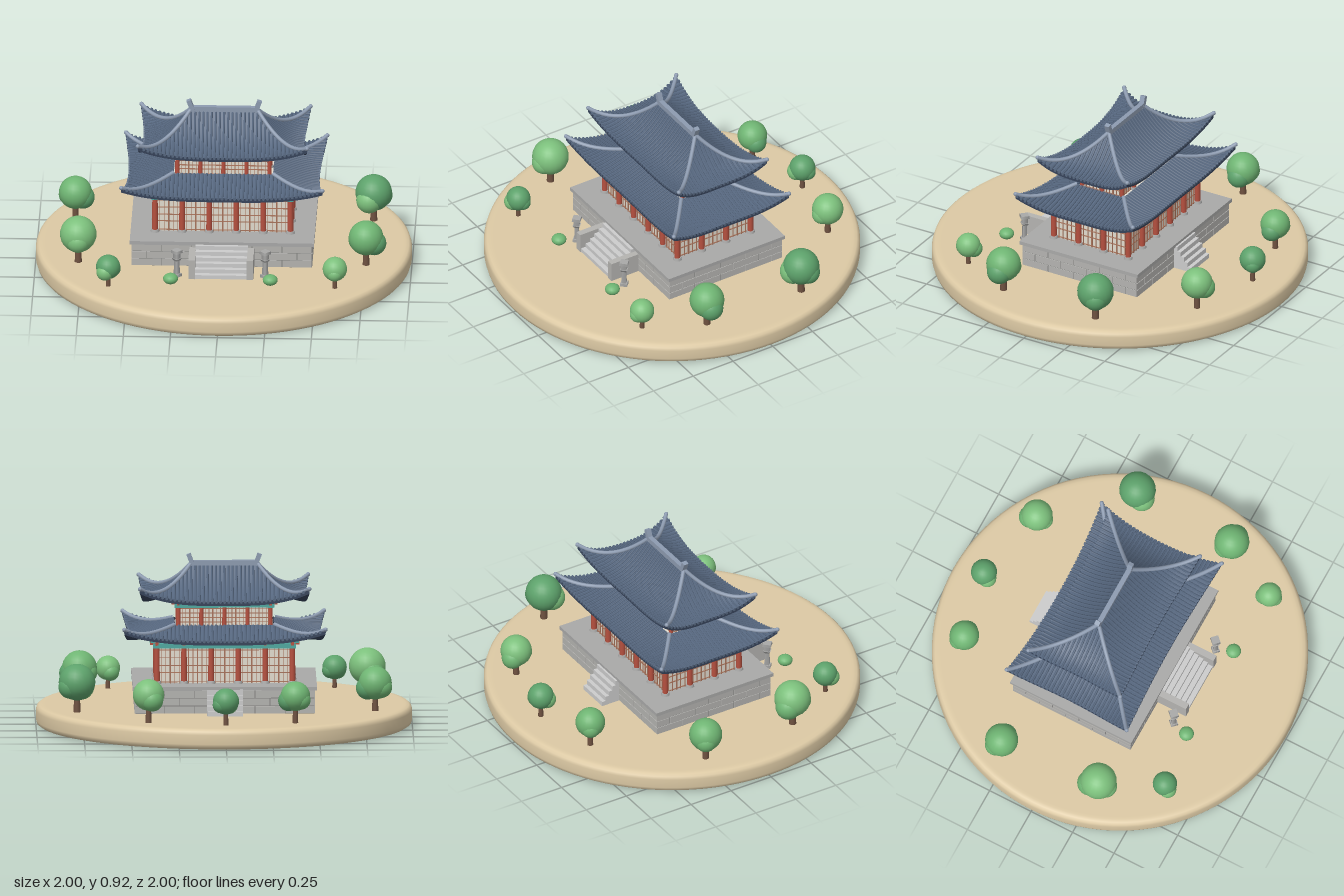
import * as THREE from 'three';
import { mergeGeometries } from 'three/addons/utils/BufferGeometryUtils.js';

const mat = (color, side = THREE.FrontSide) => new THREE.MeshStandardMaterial({ color, side });
const M = {
  sand: mat(0xdcc9a4), stone: mat(0xb4b3b0), joint: mat(0x858583), slab: mat(0xa9a9a8), step: mat(0xc4c3c0),
  red: mat(0xb5503f), panel: mat(0xe2dccf), bar: mat(0xa9745c), teal: mat(0x4fa9a0),
  tile: mat(0x56677f, THREE.DoubleSide), under: mat(0x36435a, THREE.DoubleSide), trim: mat(0x8d9bb0),
  trunk: mat(0x6e5140), leaves: [mat(0x6fb573), mat(0x5da26b), mat(0x7cc07c)],
};
const ZC = -0.035; // depth centre of the hall
const GROUND = 0.11;

function mesh(name, geo, material, x = 0, y = 0, z = 0) {
  const m = new THREE.Mesh(geo, material);
  m.name = name;
  m.position.set(x, y, z);
  return m;
}
const box = (w, h, d, x, y, z) => new THREE.BoxGeometry(w, h, d).translate(x, y, z);
const cyl = (r0, r1, h, x, y, z, n = 12) => new THREE.CylinderGeometry(r0, r1, h, n).translate(x, y, z);
const merged = (name, geos, material) => mesh(name, mergeGeometries(geos), material);

// Calls fn(halfLength, outwardDistance, i, add) for four sides; added parts are turned onto their side
function fourSides(hx, hz, fn) {
  for (let i = 0; i < 4; i++) {
    const add = (list, geo) => list.push(geo.rotateY(i * Math.PI / 2));
    if (i % 2) fn(hz, hx, i, add); else fn(hx, hz, i, add);
  }
}

function ground() {
  const pts = [[0, 0], [0.965, 0], [0.98, 0.002], [0.995, 0.012], [1, 0.03], [1, 0.08], [0.995, 0.097],
    [0.983, 0.107], [0.965, 0.11], [0.95, 0.11], [0, 0.11]].map(p => new THREE.Vector2(...p));
  return mesh('ground', new THREE.LatheGeometry(pts, 96), M.sand);
}

// Stone terrace: a core, staggered courses of blocks and a capping slab
function terrace() {
  const g = new THREE.Group(), blocks = [];
  g.name = 'terrace';
  const hx = 0.48, hz = 0.355, rowH = 0.125 / 3;
  fourSides(hx, hz, (L, D, i, add) => {
    for (let r = 0; r < 3; r++) {
      const w = 0.16, shift = r % 2 ? w / 2 : 0;
      for (let a = -L - shift; a < L - 0.001; a += w) {
        const s = Math.max(a, -L), e = Math.min(a + w, L);
        if (e - s > 0.01) add(blocks, box(e - s - 0.004, rowH - 0.004, 0.02, (s + e) / 2, GROUND + rowH * (r + 0.5), D - 0.01));
      }
    }
  });
  g.add(merged('stoneBlocks', blocks, M.stone));
  g.add(mesh('terraceCore', box(hx * 2 - 0.008, 0.13, hz * 2 - 0.008, 0, 0.17, 0), M.joint));
  g.add(mesh('terraceSlab', box(0.98, 0.02, 0.73, 0, 0.245, 0), M.slab));
  g.position.z = ZC;
  return g;
}

function stairs(name, halfWidth, zStart, run, dir, n) {
  const steps = [];
  for (let i = 0; i < n; i++) {
    const h = 0.13 * (n - i) / n, d = run / n;
    steps.push(box(halfWidth * 2, h, d, 0, GROUND + h / 2, zStart + dir * d * (i + 0.5)));
  }
  return merged(name, steps, M.step);
}

// One storey: columns, latticed panels, beams and brackets
function storey(name, hx, hz, nx, nz, y0, y1, beamH, r) {
  const g = new THREE.Group(), cols = [], bases = [], bars = [], teal = [], brackets = [];
  g.name = name;
  const H = y1 - y0, inset = 0.012;
  fourSides(hx, hz, (L, D, i, add) => {
    const n = i % 2 ? nz : nx, w = 2 * L / n, zw = D - inset + 0.002;
    for (let k = 0; k < n; k++) {
      const x = -L + k * w;
      add(cols, cyl(r * 0.92, r, H, x, y0 + H / 2, D, 14));
      add(bases, cyl(r * 1.3, r * 1.5, 0.014, x, y0 + 0.007, D, 14));
      for (let j = 1; j < 6; j++) add(bars, box(j === 3 ? 0.007 : 0.003, H, 0.006, x + w * j / 6, y0 + H / 2, zw));
      for (const f of [0.04, 0.3, 0.5, 0.72, 0.94]) add(bars, box(w, 0.004, 0.006, x + w / 2, y0 + H * f, zw));
    }
    add(teal, box(2 * L + 0.04, beamH * 0.55, 0.03, 0, y1 + beamH * 0.275, D));
    add(teal, box(2 * L + 0.07, beamH * 0.3, 0.04, 0, y1 + beamH * 0.85, D + 0.012));
    // Alternating bracket blocks below the eaves
    const m = n * 3;
    for (let k = 0; k <= m; k++) {
      const x = -L + 2 * L * k / m;
      add(k % 3 ? teal : brackets, box(0.014, beamH * 0.5, 0.05, x, y1 + beamH * 0.65, D + 0.012));
    }
  });
  g.add(mesh('wallPanels', box((hx - inset) * 2, H + beamH, (hz - inset) * 2, 0, y0 + (H + beamH) / 2, 0), M.panel));
  g.add(merged('columns', cols, M.red), merged('columnBases', bases, M.slab), merged('lattice', bars, M.bar));
  g.add(merged('beams', teal, M.teal), merged('brackets', brackets, M.red));
  return g;
}

// Concave hipped roof with bowed eaves and upturned corners
function roof(name, o) {
  const g = new THREE.Group(), top = [], under = [], ribs = [], hips = [];
  g.name = name;
  const lerp = THREE.MathUtils.lerp;
  fourSides(0, 0, (_, __, i, add) => {
    const [l0, l1, d0, d1] = i % 2 ? [o.z0, o.z1, o.x0, o.x1] : [o.x0, o.x1, o.z0, o.z1];
    const at = (s, v, drop = 0) => { // s: distance along the eave, v: 0 at the top, 1 at the eave
      const L = lerp(l0, l1, v), u = L > 1e-6 ? Math.min(1, Math.abs(s) / L) : 0;
      const y = o.yTop - (o.yTop - o.yEave) * (1 - (1 - v) ** o.curve) + o.lift * u ** 3 * v ** 3;
      return new THREE.Vector3(s, y - drop, lerp(d0, d1, v) - o.bow * (1 - u * u) * v * v);
    };
    const sheet = (rows, fn) => {
      const geo = new THREE.PlaneGeometry(2, 1, 28, rows), p = geo.attributes.position;
      for (let k = 0; k < p.count; k++) {
        const q = fn(p.getX(k), 0.5 - p.getY(k));
        p.setXYZ(k, q.x, q.y, q.z);
      }
      geo.computeVertexNormals();
      return geo;
    };
    add(top, sheet(12, (u, v) => at(u * lerp(l0, l1, v), v)));
    add(under, sheet(12, (u, v) => at(u * lerp(l0, l1, v), v, 0.022)));
    add(under, sheet(1, (u, v) => at(u * l1, 1, 0.022 * v)));
    // Round tile ribs running down the slope, each with an end tile
    const n = Math.floor(l1 / 0.022);
    for (let k = -n; k <= n; k++) {
      const s = k * 0.022, v0 = Math.max(0, (Math.abs(s) - l0) / (l1 - l0));
      if (v0 > 0.96) continue;
      const pts = Array.from({ length: 7 }, (_, j) => at(s, lerp(v0, 1, j / 6)));
      add(ribs, new THREE.TubeGeometry(new THREE.CatmullRomCurve3(pts), 7, 0.006, 5));
      add(ribs, new THREE.CylinderGeometry(0.008, 0.008, 0.008, 8).rotateX(Math.PI / 2).translate(pts[6].x, pts[6].y - 0.002, pts[6].z));
    }
    // Hip ridge
    const hip = Array.from({ length: 9 }, (_, j) => at(lerp(l0, l1, j / 8), j / 8, -0.005));
    add(hips, new THREE.TubeGeometry(new THREE.CatmullRomCurve3(hip), 20, 0.011, 8));
    add(hips, new THREE.SphereGeometry(0.0115, 10, 8).translate(hip[8].x, hip[8].y, hip[8].z));
  });
  g.add(merged('roofSurface', top, M.tile), merged('eaveUnderside', under, M.under));
  g.add(merged('tileRibs', ribs, M.tile), merged('hipRidges', hips, M.trim));
  return g;
}

function hall() {
  const g = new THREE.Group();
  g.name = 'hall';
  g.add(storey('lowerStorey', 0.36, 0.23, 5, 3, 0.255, 0.445, 0.045, 0.016));
  g.add(roof('lowerRoof', { x0: 0.265, x1: 0.535, z0: 0.145, z1: 0.362, yTop: 0.555, yEave: 0.495, curve: 1.6, lift: 0.062, bow: 0.03 }));
  g.add(storey('upperStorey', 0.245, 0.123, 4, 2, 0.535, 0.648, 0.04, 0.012));
  g.add(roof('upperRoof', { x0: 0.175, x1: 0.45, z0: 0, z1: 0.277, yTop: 0.865, yEave: 0.695, curve: 2.1, lift: 0.068, bow: 0.025 }));
  g.add(mesh('mainRidge', box(0.37, 0.028, 0.026, 0, 0.87, 0), M.trim));
  for (const s of [-1, 1]) {
    const f = mesh('ridgeFinial', new THREE.BoxGeometry(0.024, 0.065, 0.028), M.trim, s * 0.178, 0.888, 0);
    f.rotation.z = -s * 0.35;
    g.add(f);
  }
  g.position.z = ZC;
  return g;
}

function lantern(x, z) {
  const sq = (r0, r1, h, y) => cyl(r0, r1, h, 0, y, 0, 4);
  const m = merged('stoneLantern', [sq(0.026, 0.028, 0.016, 0.118), sq(0.014, 0.017, 0.08, 0.165),
    sq(0.027, 0.02, 0.012, 0.208), sq(0.02, 0.02, 0.032, 0.23), sq(0.03, 0.032, 0.016, 0.253)], M.slab);
  m.position.set(x, 0, z);
  return m;
}

// Trunk and three overlapping round crowns
function tree(x, z, r, y, i) {
  const g = new THREE.Group();
  g.name = 'tree';
  const a = i * 2.1, ball = (k, dx, dy, dz, c) =>
    mesh('foliage', new THREE.SphereGeometry(r * k, 22, 16), M.leaves[c % 3], dx * r, y + dy * r, dz * r);
  g.add(mesh('trunk', cyl(r * 0.13, r * 0.19, y - GROUND, 0, (y + GROUND) / 2, 0, 10), M.trunk));
  g.add(ball(0.93, 0, 0.1, 0, i));
  g.add(ball(0.66, 0.42 * Math.cos(a), -0.18, 0.42 * Math.sin(a), i + 1));
  g.add(ball(0.6, -0.4 * Math.cos(a + 0.5), -0.12, -0.4 * Math.sin(a + 0.5), i));
  g.position.set(x, 0, z);
  return g;
}

export function createModel() {
  const g = new THREE.Group();
  g.name = 'pavilion';
  g.add(ground(), terrace(), hall());
  g.add(stairs('frontStairs', 0.14, 0.32, 0.165, 1, 6), stairs('backStairs', 0.095, -0.39, 0.105, -1, 5));
  for (const s of [-1, 1]) {
    g.add(mesh('stairCheek', box(0.035, 0.11, 0.17, s * 0.155, 0.165, 0.405), M.stone));
    g.add(lantern(s * 0.235, 0.45));
    const bush = mesh('bush', new THREE.SphereGeometry(0.04, 18, 12), M.leaves[0], s * 0.265, 0.136, 0.543);
    bush.scale.y = 0.72;
    g.add(bush);
  }
  // x, z, crown radius, crown height
  [[-0.37, -0.74, 0.085, 0.245], [0, -0.82, 0.075, 0.23], [0.41, -0.72, 0.09, 0.25], [-0.8, -0.285, 0.095, 0.25],
    [0.785, -0.315, 0.105, 0.26], [-0.765, 0.28, 0.105, 0.26], [0.765, 0.265, 0.1, 0.255],
    [-0.595, 0.59, 0.07, 0.213], [0.61, 0.575, 0.07, 0.213]].forEach((t, i) => g.add(tree(...t, i)));
  return g;
}
